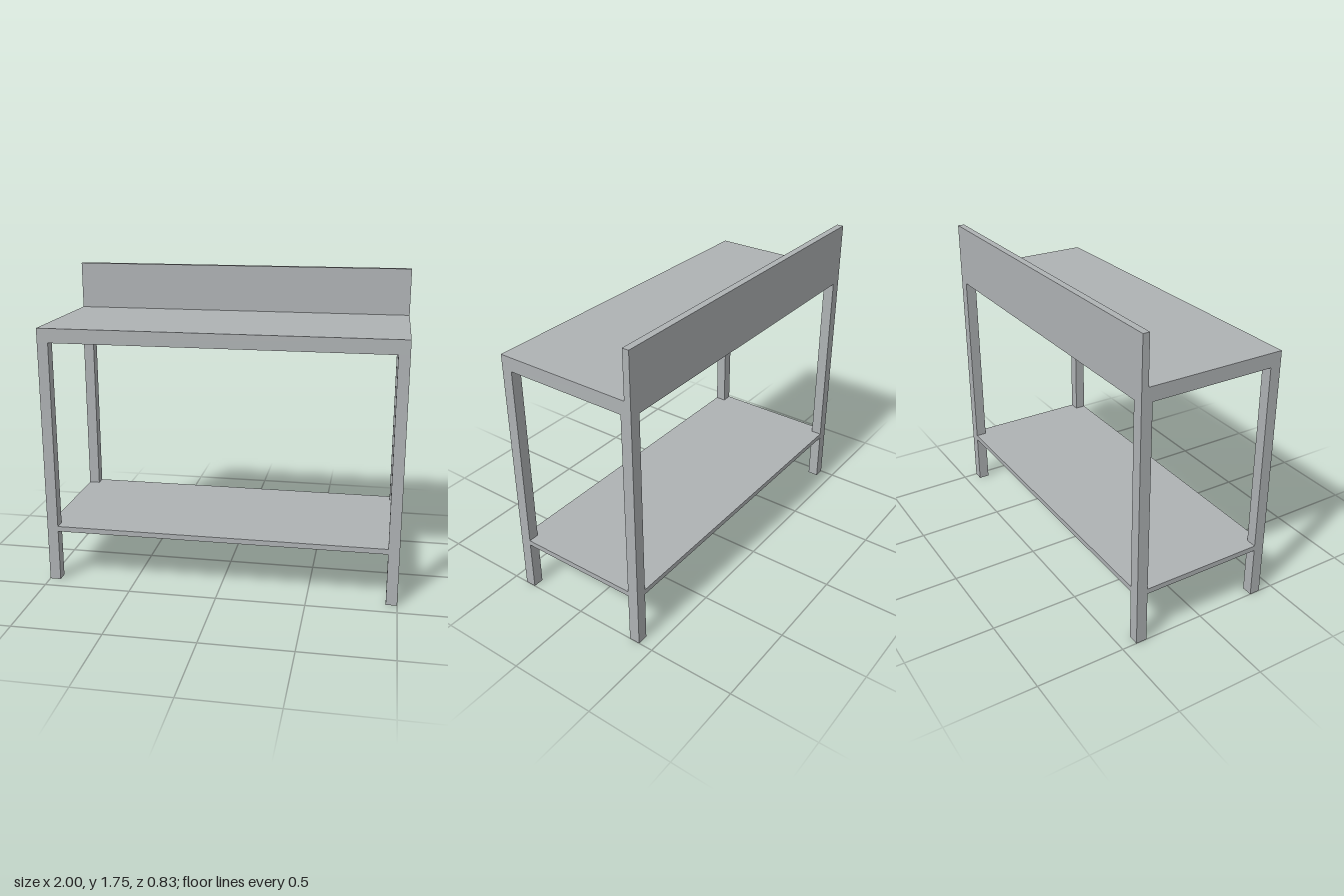
import * as THREE from 'three';

const WIDTH = 2, DEPTH = 0.83, LEG = 0.062;
const SHELF_Y = 0.3, SHELF_T = 0.03;
const TOP_Y = 1.4, TOP_T = 0.08;
const SPLASH_TOP = 1.75, SPLASH_T = 0.038;

export function createModel() {
  const group = new THREE.Group();
  const steel = new THREE.MeshStandardMaterial({ color: 0xaeb2b4 });
  steel.name = 'steel grey';

  const add = (name, geometry, x, y, z) => {
    const mesh = new THREE.Mesh(geometry, steel);
    mesh.name = name;
    mesh.position.set(x, y, z);
    group.add(mesh);
  };

  // Four square legs at the outer corners
  const legGeometry = new THREE.BoxGeometry(LEG, TOP_Y, LEG);
  for (const [side, sx] of [['Left', 1], ['Right', -1]]) {
    for (const [end, sz] of [['front', 1], ['back', -1]]) {
      add(`${end}${side}Leg`, legGeometry,
        sx * (WIDTH - LEG) / 2, TOP_Y / 2, sz * (DEPTH - LEG) / 2);
    }
  }

  // Lower shelf, notched around the legs and flush with their outer faces
  const w = WIDTH / 2, d = DEPTH / 2, wi = w - LEG, di = d - LEG;
  const outline = [
    [-wi, -d], [wi, -d], [wi, -di], [w, -di], [w, di], [wi, di],
    [wi, d], [-wi, d], [-wi, di], [-w, di], [-w, -di], [-wi, -di],
  ].map(([x, y]) => new THREE.Vector2(x, y));
  const shelfGeometry = new THREE.ExtrudeGeometry(new THREE.Shape(outline),
    { depth: SHELF_T, bevelEnabled: false });
  shelfGeometry.rotateX(-Math.PI / 2);
  add('lowerShelf', shelfGeometry, 0, SHELF_Y, 0);

  // Worktop in front of the upstand
  add('worktop', new THREE.BoxGeometry(WIDTH, TOP_T, DEPTH - SPLASH_T),
    0, TOP_Y + TOP_T / 2, SPLASH_T / 2);

  // Upstand along the back edge
  const splashHeight = SPLASH_TOP - TOP_Y;
  add('backUpstand', new THREE.BoxGeometry(WIDTH, splashHeight, SPLASH_T),
    0, TOP_Y + splashHeight / 2, -(DEPTH - SPLASH_T) / 2);

  return group;
}
